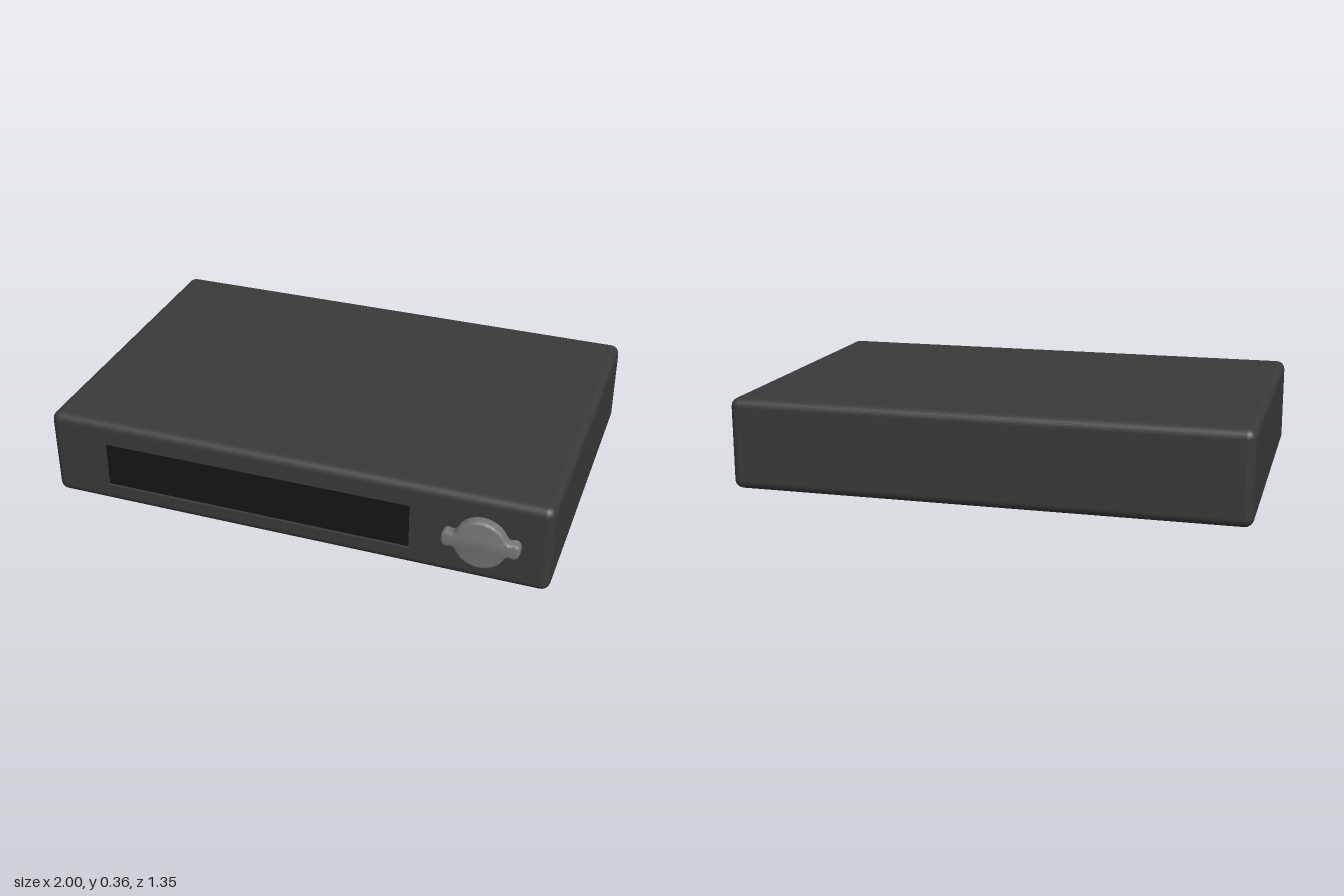
import * as THREE from 'three';
import { RoundedBoxGeometry } from 'three/addons/geometries/RoundedBoxGeometry.js';
import { toCreasedNormals } from 'three/addons/utils/BufferGeometryUtils.js';

const W = 2, H = 0.36, D = 1.31, R = 0.035;
const CY = 0.185, FRONT = 0.635, BACK = -0.675, RECESS = 0.012;
const SCREEN = { x0: -0.77, x1: 0.47, y0: 0.08, y1: 0.27 };

function addMesh(group, name, geometry, color) {
  const mesh = new THREE.Mesh(geometry, new THREE.MeshStandardMaterial({ color }));
  mesh.name = name;
  group.add(mesh);
  return mesh;
}

function rectPath(target, x0, y0, x1, y1) {
  target.moveTo(x0, y0).lineTo(x1, y0).lineTo(x1, y1).lineTo(x0, y1).closePath();
  return target;
}

// Rounded case with the flat middle of its front face left out
function caseGeometry() {
  const geo = new RoundedBoxGeometry(W, H, D, 3, R).toNonIndexed();
  const pos = geo.attributes.position, nor = geo.attributes.normal;
  const p = [], n = [];
  for (let i = 0; i < pos.count; i += 3) {
    if ([0, 1, 2].every(k => nor.getZ(i + k) > 0.999 && pos.getZ(i + k) > D / 2 - 1e-4)) continue;
    for (let k = i; k < i + 3; k++) {
      p.push(pos.getX(k), pos.getY(k), pos.getZ(k));
      n.push(nor.getX(k), nor.getY(k), nor.getZ(k));
    }
  }
  const out = new THREE.BufferGeometry();
  out.setAttribute('position', new THREE.Float32BufferAttribute(p, 3));
  out.setAttribute('normal', new THREE.Float32BufferAttribute(n, 3));
  return out;
}

// Round knob with two flared finger tabs
function knobGeometry() {
  const r = 0.09, b = 0.01;
  const a = 0.42;
  const s = new THREE.Shape();
  s.absarc(0, 0, r, a, Math.PI - a, false);
  s.quadraticCurveTo(-0.093, 0.020, -0.104, 0.018);
  s.lineTo(-0.126, 0.022);
  s.quadraticCurveTo(-0.136, 0.020, -0.136, 0);
  s.quadraticCurveTo(-0.136, -0.020, -0.126, -0.022);
  s.lineTo(-0.104, -0.018);
  s.quadraticCurveTo(-0.093, -0.020, -r * Math.cos(a), -r * Math.sin(a));
  s.absarc(0, 0, r, Math.PI + a, 2 * Math.PI - a, false);
  s.quadraticCurveTo(0.093, -0.020, 0.104, -0.018);
  s.lineTo(0.126, -0.022);
  s.quadraticCurveTo(0.136, -0.020, 0.136, 0);
  s.quadraticCurveTo(0.136, 0.020, 0.126, 0.022);
  s.lineTo(0.104, 0.018);
  s.quadraticCurveTo(0.093, 0.020, r * Math.cos(a), r * Math.sin(a));
  const geo = new THREE.ExtrudeGeometry(s, {
    depth: 0.03, bevelThickness: b, bevelSize: b, bevelSegments: 3, curveSegments: 12,
  });
  return toCreasedNormals(geo, 0.7);
}

export function createModel() {
  const model = new THREE.Group();
  model.name = 'deviceBox';

  addMesh(model, 'case', caseGeometry(), 0x3a3a3a).position.set(0, CY, (FRONT + BACK) / 2);

  // Front panel with the display opening
  const x = W / 2 - R, y = H / 2 - R;
  const panel = rectPath(new THREE.Shape(), -x, CY - y, x, CY + y);
  panel.holes.push(rectPath(new THREE.Path(), SCREEN.x0, SCREEN.y0, SCREEN.x1, SCREEN.y1));
  const panelGeo = new THREE.ExtrudeGeometry(panel, { depth: RECESS, bevelEnabled: false });
  addMesh(model, 'frontPanel', panelGeo, 0x3a3a3a).position.z = FRONT - RECESS;

  // Recessed dark display
  const screenGeo = new THREE.PlaneGeometry(SCREEN.x1 - SCREEN.x0, SCREEN.y1 - SCREEN.y0);
  addMesh(model, 'display', screenGeo, 0x151515).position.set(
    (SCREEN.x0 + SCREEN.x1) / 2, (SCREEN.y0 + SCREEN.y1) / 2, FRONT - RECESS);

  addMesh(model, 'knob', knobGeometry(), 0x777777).position.set(0.745, CY, FRONT);

  // Rest the case on the ground
  model.children.forEach(m => { m.position.y -= CY - H / 2; });
  return model;
}
